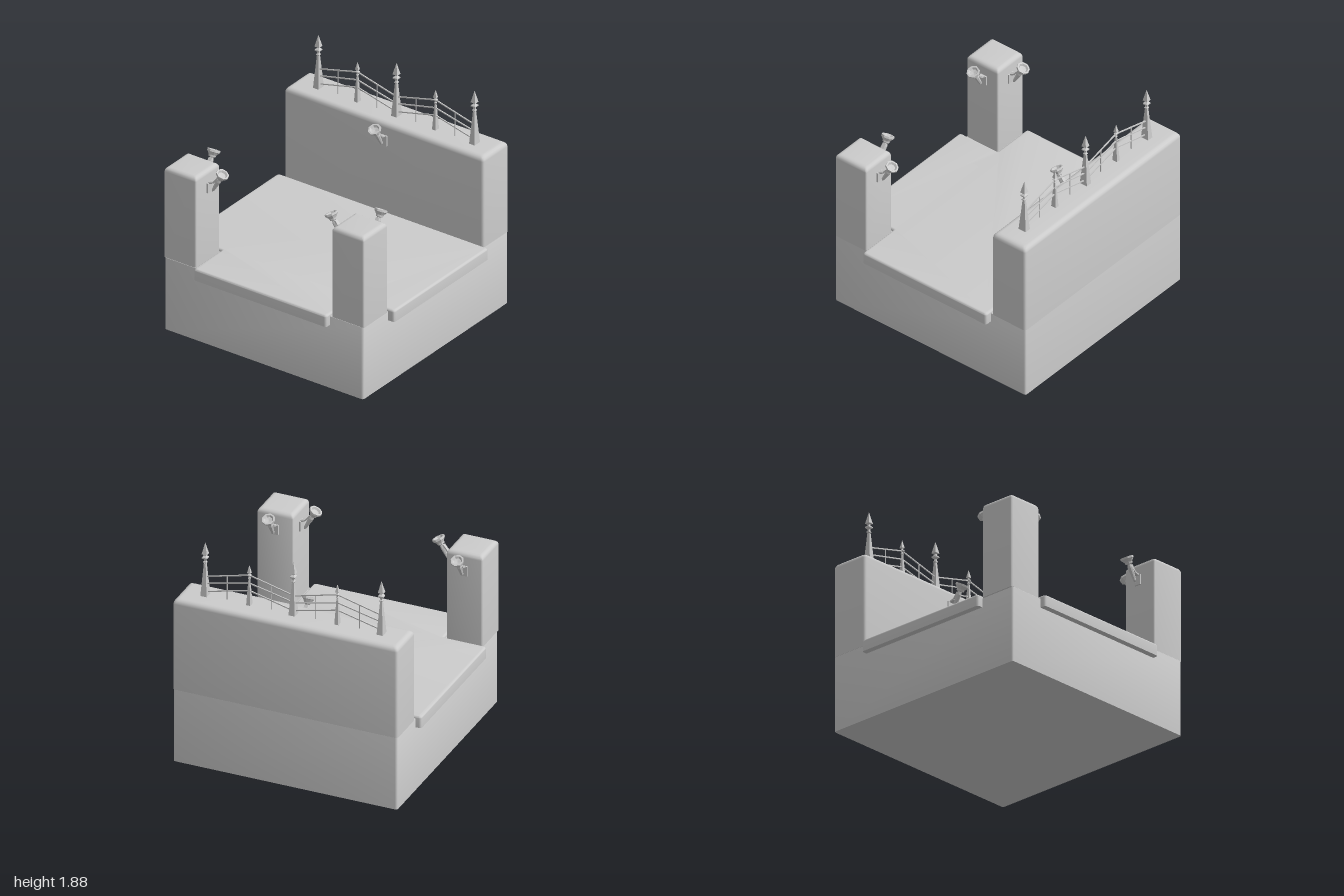
import * as THREE from 'three';
import { toCreasedNormals } from 'three/addons/utils/BufferGeometryUtils.js';

const smooth = new THREE.MeshStandardMaterial({ color: 0xcccccc });
const flat = new THREE.MeshStandardMaterial({ color: 0xcccccc, flatShading: true });

function add(parent, name, geometry, material = flat) {
  const mesh = new THREE.Mesh(geometry, material);
  mesh.name = name;
  parent.add(mesh);
  return mesh;
}

// Right-angled outline (x, -z; counter-clockwise), inset and with rounded corners
function outline(corners, inset, r) {
  const n = corners.length, out = [];
  corners.forEach((p, i) => {
    const a = p.clone().sub(corners[(i + n - 1) % n]).normalize();
    const b = corners[(i + 1) % n].clone().sub(p).normalize();
    const c = p.clone().add(new THREE.Vector2(-a.y - b.y, a.x + b.x).multiplyScalar(inset));
    const curve = new THREE.QuadraticBezierCurve(
      c.clone().addScaledVector(a, -r), c, c.clone().addScaledVector(b, r));
    out.push(...curve.getPoints(4));
  });
  return out;
}

// Upright block with rounded vertical edges, a rounded top and a sharp bottom
function block(corners, y0, y1, r, bevel) {
  const rings = [[0, y0]];
  for (let k = 0; k <= 4; k++) {
    const t = k / 4 * Math.PI / 2;
    rings.push([bevel * (1 - Math.cos(t)), y1 - bevel + bevel * Math.sin(t)]);
  }
  const pos = [], index = [];
  const loops = rings.map(([inset]) => outline(corners, inset, r));
  loops.forEach((loop, j) => loop.forEach(p => pos.push(p.x, rings[j][1], -p.y)));
  const n = loops[0].length, last = (rings.length - 1) * n;
  for (let j = 0; j < rings.length - 1; j++) {
    for (let i = 0; i < n; i++) {
      const a = j * n + i, b = j * n + (i + 1) % n;
      index.push(a, b, b + n, a, b + n, a + n);
    }
  }
  for (const [a, b, c] of THREE.ShapeUtils.triangulateShape(loops[0], [])) {
    index.push(last + a, last + b, last + c, c, b, a);
  }
  const g = new THREE.BufferGeometry();
  g.setAttribute('position', new THREE.Float32BufferAttribute(pos, 3));
  g.setIndex(index);
  return toCreasedNormals(g, 0.7);
}

const toPoints = list => list.map(([x, z]) => new THREE.Vector2(x, -z));
const rect = (x0, x1, z0, z1) => toPoints([[x0, z1], [x1, z1], [x1, z0], [x0, z0]]);

function lathe(profile, sides) {
  return new THREE.LatheGeometry(profile.map(p => new THREE.Vector2(...p)), sides);
}

// Thin bar between two points
function bar(parent, name, a, b, width, depth = width) {
  const mesh = add(parent, name, new THREE.BoxGeometry(width, a.distanceTo(b), depth));
  mesh.position.copy(a).add(b).multiplyScalar(0.5);
  mesh.quaternion.setFromUnitVectors(new THREE.Vector3(0, 1, 0), b.clone().sub(a).normalize());
}

// Wall torch leaning out along local +z
function makeTorch(x, z, turn) {
  const torch = new THREE.Group();
  torch.name = 'torch';
  add(torch, 'wallPlate', new THREE.BoxGeometry(0.06, 0.085, 0.014)).position.set(0, 1.272, 0.005);
  const path = [[1.31, 0.005], [1.325, 0.045], [1.375, 0.085]].map(([y, d]) => new THREE.Vector3(0, y, d));
  bar(torch, 'bracketArm', path[0], path[1], 0.032, 0.012);
  bar(torch, 'bracketArm', path[1], path[2], 0.028, 0.012);
  const body = add(torch, 'torchBody', lathe([
    [0, 0], [0.012, 0.02], [0.021, 0.125], [0.016, 0.15], [0.029, 0.156], [0.031, 0.17],
    [0.046, 0.19], [0.053, 0.196], [0.053, 0.212], [0.04, 0.212], [0.03, 0.196], [0, 0.19],
  ], 8));
  body.position.set(0, 1.24, 0.03);
  body.rotation.x = 0.5;
  torch.position.set(x, 0, z);
  torch.rotation.y = turn;
  return torch;
}

// Tapered square post with collars and a spear tip
function makePost(x, s, shaftTop, tipTop) {
  const post = new THREE.Group();
  post.name = 'fencePost';
  const h = shaftTop - 1.41;
  const shaft = add(post, 'postShaft',
    new THREE.CylinderGeometry(0.011 * s, 0.038 * s, h, 4).rotateY(Math.PI / 4).scale(1, 1, 1.35));
  shaft.position.y = 1.41 + h / 2;
  const t = tipTop - shaftTop;
  const finial = add(post, 'spearTip', lathe([
    [0, 0], [0.02, 0.02], [0.02, 0.06], [0.011, 0.1], [0.011, 0.17], [0.03, 0.24], [0.03, 0.29],
    [0.011, 0.36], [0.011, 0.41], [0.031, 0.44], [0, 1],
  ].map(([r, y]) => [r * s, y * t]), 4).rotateY(Math.PI / 4));
  finial.position.y = shaftTop;
  post.position.x = x;
  return post;
}

export function createModel() {
  const model = new THREE.Group();
  model.name = 'courtyard';

  // Masonry
  add(model, 'base', block(rect(-0.95, 0.935, -0.97, 0.917), 0, 0.632, 0.02, 0.004), smooth);
  add(model, 'backWall', block(rect(-0.953, 0.94, -0.972, -0.643), 0.63, 1.42, 0.025, 0.04), smooth);
  for (const [x0, x1] of [[-0.96, -0.655], [0.635, 0.94]]) {
    add(model, 'cornerPillar', block(rect(x0, x1, 0.605, 0.915), 0.63, 1.42, 0.015, 0.035), smooth);
  }

  // Floor slab, notched round the pillars
  add(model, 'floorSlab', block(toPoints([
    [-0.64, 0.967], [0.62, 0.967], [0.62, 0.595], [0.997, 0.595],
    [0.997, -0.63], [-1, -0.63], [-1, 0.595], [-0.64, 0.595],
  ]), 0.555, 0.655, 0.022, 0.018), smooth);

  // Torches on the pillars and the wall
  model.add(
    makeTorch(-0.655, 0.745, Math.PI / 2), makeTorch(-0.805, 0.605, Math.PI),
    makeTorch(0.635, 0.745, -Math.PI / 2), makeTorch(0.785, 0.605, Math.PI),
    makeTorch(0, -0.643, 0));

  // Fence along the wall top
  const fence = new THREE.Group();
  fence.name = 'fence';
  fence.position.z = -0.8;
  for (const x of [-0.742, 0, 0.742]) fence.add(makePost(x, 1, 1.7, 1.88));
  for (const x of [-0.371, 0.371]) {
    fence.add(makePost(x, 0.65, 1.645, 1.765));
    for (const side of [-1, 1]) {
      const far = x + side * 0.371, mid = x + side * 0.186;
      for (const [low, high] of [[1.58, 1.675], [1.52, 1.605], [1.45, 1.54]]) {
        bar(fence, 'rail', new THREE.Vector3(far, low, 0), new THREE.Vector3(x, high, 0), 0.009);
      }
      bar(fence, 'baluster', new THREE.Vector3(mid, 1.41, 0), new THREE.Vector3(mid, 1.63, 0), 0.007);
    }
  }
  model.add(fence);
  return model;
}
